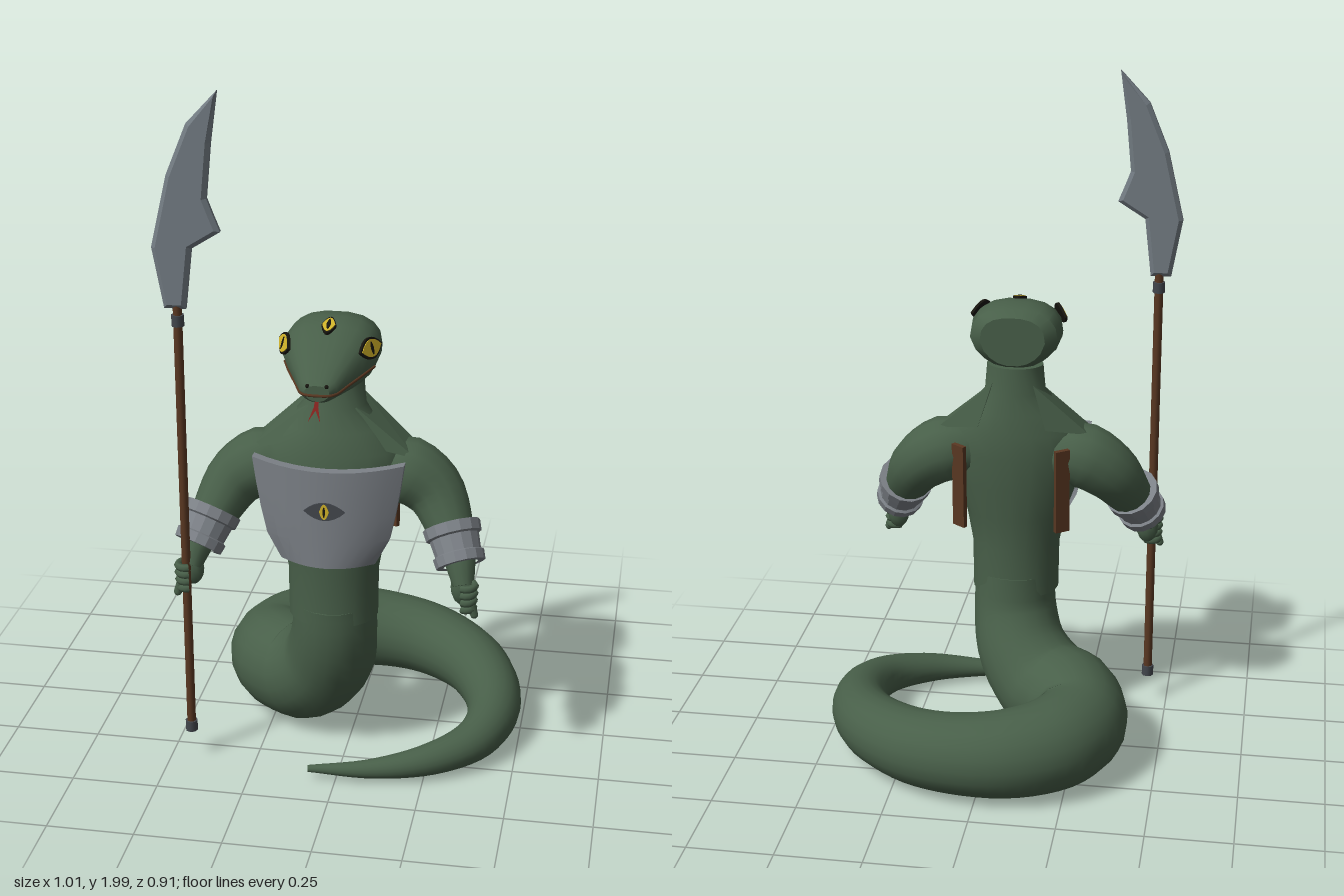
import * as THREE from 'three';
import { toCreasedNormals } from 'three/addons/utils/BufferGeometryUtils.js';
import { ConvexGeometry } from 'three/addons/geometries/ConvexGeometry.js';

const V = (x, y, z) => new THREE.Vector3(x, y, z);
const CX = -0.04; // centre line of the upper body

const mat = (name, color, extra = {}) => {
  const m = new THREE.MeshStandardMaterial({ color, ...extra });
  m.name = name;
  return m;
};

// Skin over a list of closed rings, with flat caps at both ends
function loft(rings) {
  const n = rings[0].length, pos = [], idx = [];
  const add = (p) => pos.push(p.x, p.y, p.z) / 3 - 1;
  rings.forEach((r) => r.forEach(add));
  for (let i = 0; i < rings.length - 1; i++) {
    for (let j = 0; j < n; j++) {
      const k = (j + 1) % n, a = i * n + j, b = i * n + k;
      idx.push(a, b, a + n, b, b + n, a + n);
    }
  }
  [rings[0], rings[rings.length - 1]].forEach((ring, end) => {
    const mid = V(0, 0, 0);
    ring.forEach((p) => mid.addScaledVector(p, 1 / n));
    const c = add(mid), first = c + 1;
    ring.forEach(add);
    for (let j = 0; j < n; j++) {
      const a = first + j, b = first + ((j + 1) % n);
      if (end) idx.push(c, a, b); else idx.push(c, b, a);
    }
  });
  const g = new THREE.BufferGeometry();
  g.setAttribute('position', new THREE.Float32BufferAttribute(pos, 3));
  g.setIndex(idx);
  g.computeVertexNormals();
  return g;
}

const ring = (n, f) => Array.from({ length: n }, (_, j) => f((j / n) * Math.PI * 2));

// Tube along [x, y, z, radius] points
function taperTube(points, steps, sides) {
  const curve = new THREE.CatmullRomCurve3(points.map((p) => V(p[0], p[1], p[2])));
  const frames = curve.computeFrenetFrames(steps, false);
  const last = points.length - 1, rings = [];
  for (let i = 0; i <= steps; i++) {
    const u = i / steps, t = curve.getUtoTmapping(u) * last;
    const k = Math.min(Math.floor(t), last - 1);
    const r = THREE.MathUtils.lerp(points[k][3], points[k + 1][3], t - k);
    const c = curve.getPointAt(u);
    rings.push(ring(sides, (a) => c.clone()
      .addScaledVector(frames.normals[i], r * Math.cos(a))
      .addScaledVector(frames.binormals[i], r * Math.sin(a))));
  }
  return loft(rings);
}

// Flat pointed oval, w and h are half sizes
function almond(w, h, depth) {
  const s = new THREE.Shape();
  s.moveTo(-w, 0);
  s.quadraticCurveTo(0, -2 * h, w, 0);
  s.quadraticCurveTo(0, 2 * h, -w, 0);
  return new THREE.ExtrudeGeometry(s, { depth, bevelEnabled: false, curveSegments: 8 });
}

export function createModel() {
  const root = new THREE.Group();
  const green = mat('scale green', 0x485f49), steel = mat('armour steel', 0x7c8187);
  const blade = mat('blade steel', 0x737c83), dark = mat('dark iron', 0x43474d);
  const brown = mat('brown leather', 0x5a3822), yellow = mat('eye yellow', 0xd2b42a);
  const black = mat('black', 0x17150f), red = mat('tongue red', 0x7d201c, { side: THREE.DoubleSide });

  const upper = new THREE.Group();
  upper.name = 'upperBody';
  upper.position.x = CX;
  root.add(upper);
  const mesh = (name, geo, m, parent = upper) => {
    const o = new THREE.Mesh(geo, m);
    o.name = name;
    parent.add(o);
    return o;
  };

  // Coiled tail, from the waist to the tip
  mesh('coiledTail', taperTube([
    [-0.04, 0.5, 0.17, 0.12], [-0.04, 0.38, 0.16, 0.126], [-0.07, 0.26, 0.11, 0.137],
    [-0.15, 0.175, 0.045, 0.15], [-0.235, 0.165, -0.03, 0.153], [-0.275, 0.15, -0.13, 0.14],
    [-0.22, 0.145, -0.25, 0.138], [-0.1, 0.138, -0.322, 0.13], [0.04, 0.132, -0.337, 0.12],
    [0.19, 0.125, -0.3, 0.111], [0.33, 0.115, -0.19, 0.1], [0.408, 0.1, -0.04, 0.087],
    [0.42, 0.09, 0.1, 0.073], [0.375, 0.077, 0.22, 0.06], [0.26, 0.062, 0.315, 0.046],
    [0.1, 0.047, 0.368, 0.028], [-0.08, 0.04, 0.385, 0.01],
  ], 70, 20), green, root);

  // Torso sections: y, half width, z centre, half depth
  mesh('torso', loft([
    [0.45, 0.13, 0.17, 0.117], [0.6, 0.132, 0.17, 0.112], [0.7, 0.15, 0.17, 0.12],
    [0.8, 0.185, 0.165, 0.125], [0.9, 0.205, 0.16, 0.125], [0.97, 0.195, 0.155, 0.115],
    [1.03, 0.14, 0.15, 0.1], [1.09, 0.09, 0.14, 0.08], [1.17, 0.083, 0.137, 0.066],
  ].map(([y, w, z, d]) => ring(20, (a) => V(w * Math.sin(a), y, z + d * Math.cos(a))))), green);

  // Head sections: z, half width, bottom, top; the jaw is narrower than the brow
  const headSections = [
    [0.07, 0.095, 1.18, 1.325], [0.1, 0.128, 1.165, 1.343], [0.16, 0.135, 1.152, 1.35],
    [0.22, 0.13, 1.152, 1.342], [0.28, 0.106, 1.16, 1.317], [0.34, 0.076, 1.17, 1.28],
    [0.39, 0.052, 1.18, 1.248], [0.41, 0.034, 1.19, 1.235],
  ];
  const headPoint = ([z, w, y0, y1], a) => {
    const soft = (v) => Math.sign(v) * Math.abs(v) ** 0.8, s = Math.sin(a);
    return V(w * soft(Math.cos(a)) * (s < 0 ? 1 + 0.25 * s : 1), (y0 + y1) / 2 + soft(s) * (y1 - y0) / 2, z);
  };
  mesh('head', toCreasedNormals(loft(headSections.map((s) => ring(18, (a) => headPoint(s, a)))), 0.6), green);

  // Mouth line wrapped around the snout
  const lip = headSections.slice(3).map((s) => headPoint(s, -0.12));
  const lipPath = [...lip, ...lip.slice().reverse().map((p) => V(-p.x, p.y, p.z))];
  mesh('mouthLine', new THREE.TubeGeometry(new THREE.CatmullRomCurve3(lipPath), 40, 0.004, 5), brown);

  // Forked tongue
  const fork = new THREE.Shape([[-0.005, 0], [0.005, 0], [0.006, 0.03], [0.017, 0.075], [0, 0.04],
    [-0.017, 0.075], [-0.006, 0.03]].map(([x, y]) => new THREE.Vector2(x, y)));
  const tongue = mesh('tongue', new THREE.ShapeGeometry(fork), red);
  tongue.position.set(0, 1.2, 0.4);
  tongue.rotation.x = Math.PI / 2 + 0.78;

  // Slit eyes: rim, iris and pupil stacked as thin plates
  const eye = (name, pos, dir, w, h) => {
    const g = new THREE.Group();
    g.name = name;
    g.position.copy(pos);
    g.lookAt(pos.clone().add(dir));
    mesh('eyeRim', almond(w * 1.15, h * 1.25, 0.008), black, g);
    mesh('iris', almond(w, h, 0.004), yellow, g).position.z = 0.006;
    mesh('pupil', almond(0.006, h * 0.75, 0.003), black, g).position.z = 0.009;
    upper.add(g);
  };
  eye('browEye', V(0, 1.338, 0.226), V(0, 1, 0.3), 0.018, 0.03);

  for (const s of [1, -1]) {
    const side = s > 0 ? 'left' : 'right';
    eye(side + 'Eye', V(s * 0.115, 1.292, 0.25), V(s * 0.9, 0.3, 0.4), 0.046, 0.024);
    mesh(side + 'Nostril', new THREE.SphereGeometry(0.006, 8, 6), black).position.set(s * 0.026, 1.232, 0.406);

    // Flat muscle wedge between neck and shoulder
    mesh(side + 'NeckMuscle', new ConvexGeometry([[0.06, 1.12, 0.08], [0.06, 1.1, 0.19], [0.09, 1.0, 0.235],
      [0.24, 0.95, 0.19], [0.225, 0.97, 0.1], [0.1, 0.99, 0.06]].map(([x, y, z]) => V(s * x, y, z))), green);

    // Arm
    mesh(side + 'Arm', taperTube([[0.12, 0.9, 0.14, 0.08], [0.21, 0.89, 0.135, 0.1], [0.285, 0.84, 0.145, 0.088],
      [0.335, 0.76, 0.195, 0.07], [0.375, 0.68, 0.26, 0.045], [0.39, 0.62, 0.295, 0.03]]
      .map(([x, y, z, r]) => [s * x, y, z, r]), 16, 14), green);

    // Bracer: a band between two thick rims
    const band = new THREE.LatheGeometry([[0.05, -0.058], [0.071, -0.058], [0.074, -0.03], [0.066, -0.026],
      [0.071, 0.02], [0.08, 0.024], [0.083, 0.055], [0.055, 0.055]].map(([x, y]) => new THREE.Vector2(x, y)), 14);
    const bracer = mesh(side + 'Bracer', toCreasedNormals(band, 0.3), steel);
    bracer.position.set(s * 0.36, 0.715, 0.23);
    bracer.quaternion.setFromUnitVectors(V(0, 1, 0), V(s * -0.3, 0.75, -0.5).normalize());

    // Fist: palm, four curled fingers and a thumb
    const hand = new THREE.Group();
    hand.name = side + 'Hand';
    hand.position.set(s * 0.4, 0.6, 0.312);
    const palm = mesh('palm', new THREE.SphereGeometry(1, 12, 8), green, hand);
    palm.scale.set(0.034, 0.052, 0.026);
    palm.position.set(-s * 0.012, 0.012, -0.022);
    for (let i = 0; i < 4; i++) {
      const finger = mesh('finger', new THREE.TorusGeometry(0.025 - i * 0.001, 0.011, 6, 10, 4.4), green, hand);
      finger.rotation.set(Math.PI / 2, 0, s > 0 ? -2.4 : 1.14);
      finger.position.y = 0.03 - i * 0.022;
    }
    const thumb = mesh('thumb', new THREE.CapsuleGeometry(0.012, 0.035, 3, 8), green, hand);
    thumb.position.set(s * 0.02, -0.036, 0.01);
    thumb.rotation.z = s * 0.3;
    upper.add(hand);

    // Leather strap on the back
    const strap = mesh(side + 'BackStrap', new THREE.BoxGeometry(0.045, 0.26, 0.014), brown);
    strap.position.set(s * 0.152, 0.81, 0.045);
    strap.rotation.set(-0.05, -s * 0.6, 0);
  }

  // Curved breastplate, tapering to the waist
  const plate = new THREE.BoxGeometry(2, 0.305, 0.03, 10, 4, 1);
  const p = plate.attributes.position;
  for (let i = 0; i < p.count; i++) {
    const u = p.getX(i), y = p.getY(i) + 0.8025, t = Math.max(0, (y - 0.65) / 0.305);
    p.setXYZ(i, u * (0.135 + 0.08 * Math.sqrt(t)), y - 0.012 * t * (1 - u * u), p.getZ(i) + 0.3 - 0.055 * u * u);
  }
  mesh('breastplate', toCreasedNormals(plate, 0.2), steel);

  // Eye emblem on the breastplate
  const emblem = new THREE.Group();
  emblem.name = 'breastplateEye';
  emblem.position.set(0, 0.826, 0.311);
  mesh('emblemRim', almond(0.058, 0.027, 0.007), dark, emblem);
  mesh('emblemIris', almond(0.014, 0.023, 0.003), yellow, emblem).position.z = 0.006;
  mesh('emblemPupil', almond(0.004, 0.016, 0.003), black, emblem).position.z = 0.008;
  upper.add(emblem);

  // Spear: shaft, iron collars and bevelled blade
  const spear = new THREE.Group();
  spear.name = 'spear';
  spear.position.set(-0.44, 0, 0.315);
  root.add(spear);
  mesh('shaft', new THREE.CylinderGeometry(0.013, 0.013, 1.3, 8), brown, spear).position.y = 0.76;
  for (const y of [0.11, 1.365]) {
    mesh('collar', new THREE.CylinderGeometry(0.018, 0.018, 0.032, 8), dark, spear).position.y = y;
  }
  const outline = [[-0.035, 1.4], [0.025, 1.4], [0.045, 1.57], [0.125, 1.62], [0.105, 1.67], [0.09, 1.71],
    [0.105, 1.86], [0.125, 2.0], [0.04, 1.91], [-0.018, 1.77], [-0.065, 1.57]];
  const bladeGeo = new THREE.ExtrudeGeometry(new THREE.Shape(outline.map(([x, y]) => new THREE.Vector2(x, y))), {
    depth: 0.012, bevelThickness: 0.01, bevelSize: 0.012, bevelOffset: -0.012, bevelSegments: 1,
  });
  bladeGeo.translate(0, 0, -0.006);
  mesh('blade', bladeGeo, blade, spear);

  return root;
}
